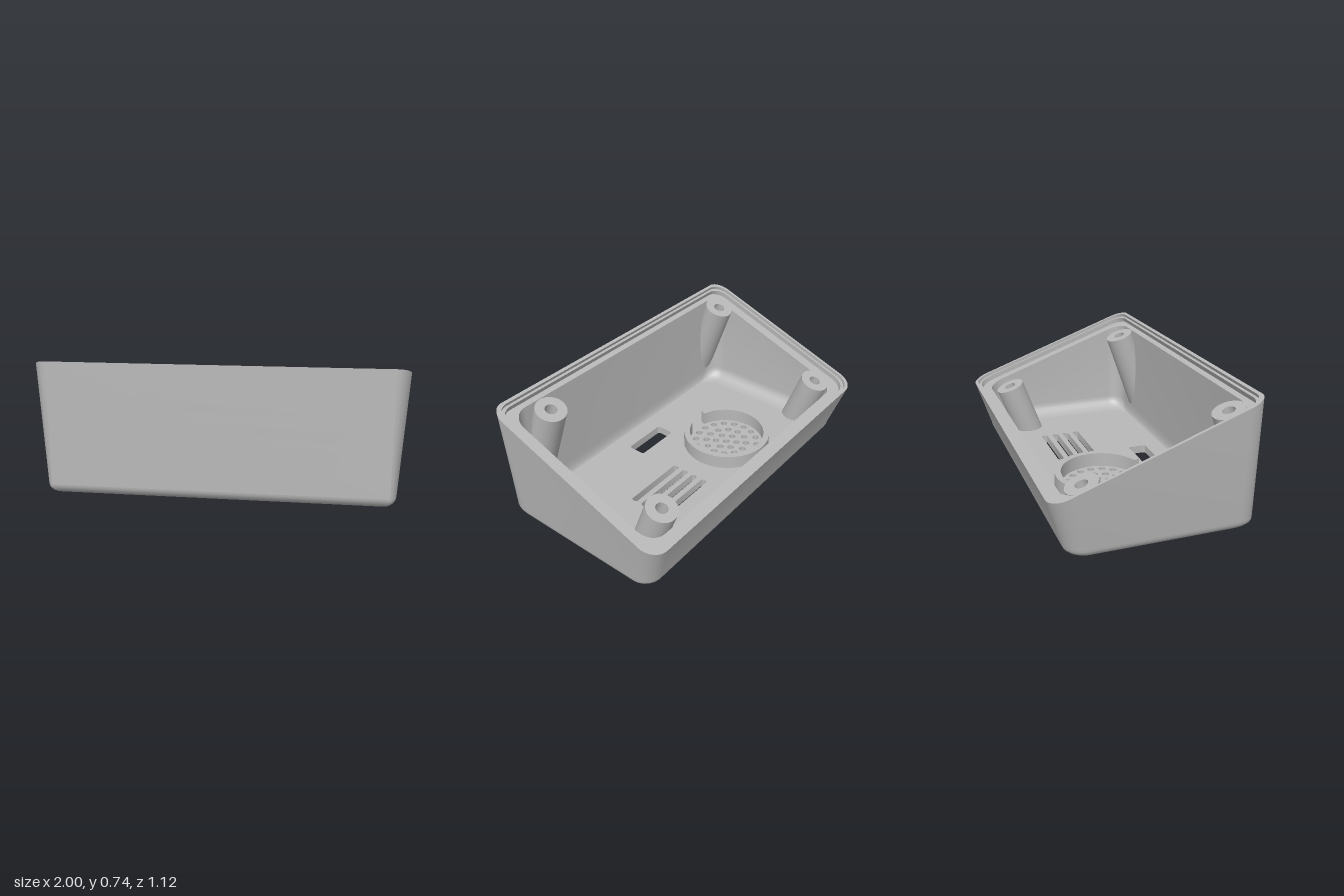
import * as THREE from 'three';
import { toCreasedNormals } from 'three/addons/utils/BufferGeometryUtils.js';

const TILT = THREE.MathUtils.degToRad(20);
const C = Math.cos(TILT), S = Math.sin(TILT);
const FRONT = 0.56, FLOOR = 0.05, FILLET = 0.055, CORNER = 10, SEG = 40;
const slope = z => 0.536 + Math.tan(TILT) * z; // the sloping open top

// Skin joining a list of rings that have equal point counts
function loft(rings, skip = () => false) {
  const n = rings[0].length, index = [];
  for (let i = 0; i < rings.length - 1; i++) {
    for (let j = 0; j < n; j++) {
      if (skip(i, j)) continue;
      const a = i * n + j, d = i * n + (j + 1) % n;
      index.push(a, a + n, d + n, a, d + n, d);
    }
  }
  const geo = new THREE.BufferGeometry();
  geo.setAttribute('position', new THREE.Float32BufferAttribute(rings.flat(2), 3));
  geo.setIndex(index);
  return toCreasedNormals(geo, 0.6);
}

// Rounded rectangle seen from above; front corners may be narrower than deep
function ring({ w, front, back, rx = 0.1, r = 0.1 }, yAt, depth = 0) {
  const pts = [];
  [[1, 1], [-1, 1], [-1, -1], [1, -1]].forEach(([sx, sz], k) => {
    const cx = sx * (w - (sz > 0 ? rx : r));
    const cz = sz > 0 ? front - r : back + r;
    for (let i = 0; i <= CORNER; i++) {
      const a = (k + i / CORNER) * Math.PI / 2;
      const x = cx + (sz > 0 ? rx : r) * Math.cos(a), z = cz + r * Math.sin(a);
      pts.push([x, yAt(z) - depth * C, z + depth * S]);
    }
  });
  return pts;
}

// Flat outlines as [x, z] pairs
const ellipse = (x, z, rx, rz = rx, n = SEG) => Array.from({ length: n }, (_, i) => {
  const a = i / n * Math.PI * 2;
  return [x + rx * Math.cos(a), z + rz * Math.sin(a)];
});
function roundedSlot(x0, x1, z0, z1, r) {
  return ring({ w: (x1 - x0) / 2, front: z1, back: z0, rx: r, r }, () => 0)
    .map(([x, , z]) => [x + (x0 + x1) / 2, z]);
}
const toPath = (pts, flip = 1) => pts.map(([x, y]) => new THREE.Vector2(x, y * flip));

function plate(outline, holes, flip = 1) {
  const shape = new THREE.Shape(toPath(outline, flip));
  shape.holes = holes.map(h => new THREE.Path(toPath(h, flip)));
  return new THREE.ShapeGeometry(shape);
}

export function createModel() {
  const group = new THREE.Group();
  const grey = new THREE.MeshStandardMaterial({ color: 0xb8b8b8 });
  grey.name = 'grey plastic';
  const add = (name, geo) => {
    const mesh = new THREE.Mesh(geo, grey);
    mesh.name = name;
    group.add(mesh);
    return mesh;
  };

  // Outer shell: rounded foot, then straight walls up to the sloping edge
  const outer = [];
  for (let i = 0; i <= 6; i++) {
    const a = i / 6 * Math.PI / 2, inset = FILLET * (1 - Math.sin(a));
    outer.push(ring({ w: 0.955 - inset, front: FRONT - inset, back: -0.465 + inset, rx: 0.04 },
      () => FILLET * (1 - Math.cos(a))));
  }
  const topEdge = ring({ w: 1, front: FRONT, back: -0.555, rx: 0.08 }, slope);
  outer.push(topEdge);
  add('outerShell', loft(outer, (i, j) => i === 6 && j === CORNER));

  // Rim, stepped lid seat and cavity walls
  const step = inset => ({ w: 1 - inset, front: FRONT - inset, back: -0.555 + inset, rx: 0.085, r: 0.09 });
  const cavity = [
    topEdge,
    ring(step(0.018), slope), ring(step(0.018), slope, 0.02),
    ring(step(0.032), slope, 0.02), ring(step(0.032), slope, 0.05),
    ring({ w: 0.905, front: 0.498, back: -0.477 }, slope, 0.05),
  ];
  for (let i = 0; i <= 6; i++) {
    const a = i / 6 * Math.PI / 2, k = 1 - Math.cos(a);
    cavity.push(ring({ w: 0.905 - 0.09 * k, front: 0.515 - 0.02 * k, back: -0.415 + 0.015 * k },
      () => FLOOR + 0.08 * (1 - Math.sin(a))));
  }
  add('rimAndCavity', loft(cavity));

  // Openings through the floor
  const openings = [ellipse(-0.29, -0.055, 0.021, 0.021, 16)];
  [[6, 0.067], [12, 0.128], [18, 0.197]].forEach(([count, r]) => {
    for (const [x, z] of ellipse(-0.29, -0.055, r, r, count)) {
      openings.push(ellipse(x, z, 0.021, 0.021, 16));
    }
  });
  for (const z of [-0.18, -0.107, -0.036, 0.035]) {
    openings.push(roundedSlot(0.105, 0.505, z - 0.019, z + 0.019, 0.015));
  }
  openings.push(roundedSlot(-0.145, 0.14, 0.283, 0.395, 0.018));
  openings.forEach(o => add('floorOpening', loft([FLOOR, 0].map(y => o.map(([x, z]) => [x, y, z])))));

  // Tilted screw posts, each with a wide screw channel leaving the case below
  const BORE = 0.064;
  const undersideHoles = [], frontHoles = [];
  for (const x of [-0.842, 0.705]) {
    for (const z0 of [-0.372, 0.408]) {
      const y = slope(z0) - 0.046 * C, z = z0 + 0.046 * S;
      const postRing = (r, limit) => ellipse(0, 0, r).map(([u, v]) => {
        const py = y + v * S, pz = z + v * C;
        const t = typeof limit === 'number' ? limit
          : Math.min((py - limit.bottom) / C, (limit.front - pz) / S);
        return [x + u, py - t * C, pz + t * S];
      });
      add('screwPost', loft([
        postRing(0.09, { bottom: 0.045, front: 0.525 }), postRing(0.09, 0),
        postRing(0.035, 0), postRing(0.035, 0.12), postRing(BORE, 0.12),
        postRing(BORE, { bottom: 0, front: FRONT }),
      ]));
      if (z0 < 0) undersideHoles.push(ellipse(x, z + y * S / C, BORE, BORE / C));
      else frontHoles.push(ellipse(x, y - (FRONT - z) * C / S, BORE, BORE / S));
    }
  }

  // Underside and inner floor
  const flat = r => r.map(([x, , z]) => [x, z]);
  add('underside', plate(flat(outer[0]), [...openings, ...undersideHoles]).rotateX(Math.PI / 2));
  add('innerFloor', plate(flat(cavity[cavity.length - 1]), openings, -1)
    .rotateX(-Math.PI / 2)).position.y = FLOOR;

  // Front face with four shallow round recesses
  for (const x of [-0.477, 0.477]) {
    for (const y of [0.132, 0.558]) {
      const circle = ellipse(x, y, 0.071);
      frontHoles.push(circle);
      const disc = (r, z) => ellipse(x, 0, r).map(([px, v]) => [px, y - v, z]);
      add('frontRecess', loft([disc(0.071, FRONT), disc(0.071, FRONT - 0.025), disc(0, FRONT - 0.025)]));
    }
  }
  const top = slope(FRONT);
  add('frontFace', plate([[-0.915, FILLET], [0.915, FILLET], [0.92, top], [-0.92, top]], frontHoles))
    .position.z = FRONT;

  // Speaker collar, open toward the front
  const collar = new THREE.Shape();
  const gap = 0.28, from = -Math.PI / 2 + gap, to = Math.PI * 1.5 - gap;
  collar.absarc(0, 0, 0.272, from, to, false);
  collar.absarc(0, 0, 0.235, to, from, true);
  const collarGeo = new THREE.ExtrudeGeometry(collar, { depth: 0.09, bevelEnabled: false, curveSegments: 48 });
  add('speakerCollar', toCreasedNormals(collarGeo.rotateX(-Math.PI / 2), 0.6))
    .position.set(-0.29, FLOOR - 0.005, -0.055);

  return group;
}
